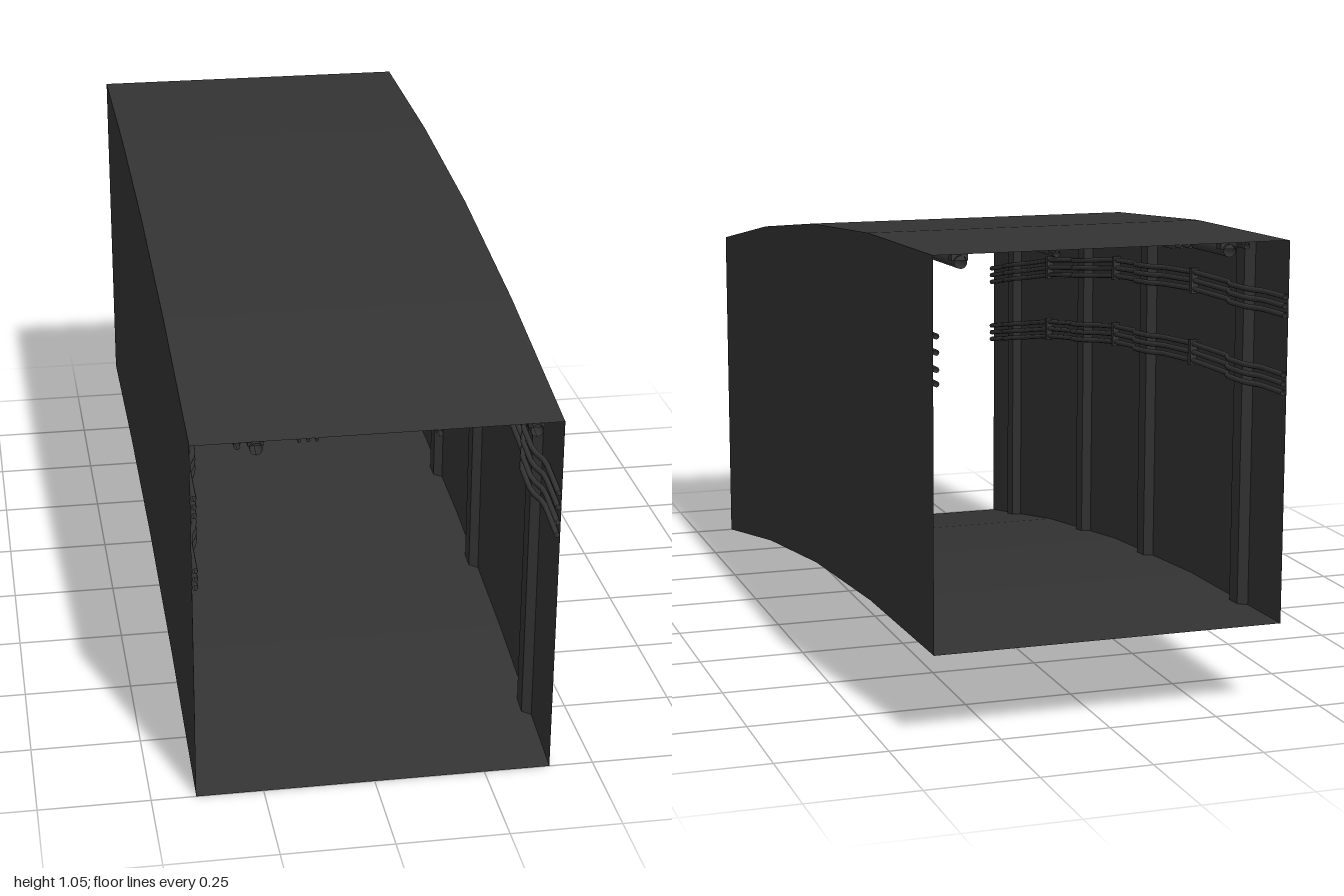
import * as THREE from 'three';

const LENGTH = 2, HALF_W = 0.4, HEIGHT = 0.85;
const PILLARS = [-0.79, -0.22, 0.22, 0.79];
const RISE = [0.2, 0.188, 0.152, 0.088, 0]; // floor height at z = -1, -0.5, 0, 0.5, 1

// Floor height along the curved passage
function rise(z) {
  const t = THREE.MathUtils.clamp((z + 1) * 2, 0, 4);
  const i = Math.min(3, Math.floor(t));
  return THREE.MathUtils.lerp(RISE[i], RISE[i + 1], t - i);
}

// How far wall cables step out to clear a pillar (0 to 1)
function bump(z) {
  const d = Math.min(...PILLARS.map((p) => Math.abs(z - p)));
  return 1 - THREE.MathUtils.smoothstep(d, 0.04, 0.1);
}

export function createModel() {
  const model = new THREE.Group();
  const dark = new THREE.MeshStandardMaterial({ color: 0x333333, side: THREE.DoubleSide });
  dark.name = 'dark grey';

  // Lifts a straight part onto the curve of the passage and adds it
  function add(name, geometry, flat = true, shiftX = () => 0) {
    const g = flat && geometry.index ? geometry.toNonIndexed() : geometry;
    const p = g.attributes.position;
    for (let i = 0; i < p.count; i++) {
      const z = p.getZ(i);
      p.setX(i, p.getX(i) + shiftX(z));
      p.setY(i, p.getY(i) + rise(z));
    }
    g.computeVertexNormals();
    const mesh = new THREE.Mesh(g, dark);
    mesh.name = name;
    model.add(mesh);
  }

  function pipe(name, x, y, r, sides, shiftX) {
    const g = new THREE.CylinderGeometry(r, r, LENGTH, sides, 80, true);
    add(name, g.rotateX(Math.PI / 2).translate(x, y, 0), false, shiftX);
  }

  function clamp(name, x, y, z, w, h, d) {
    add(name, new THREE.BoxGeometry(w, h, d).translate(x, y, z));
  }

  // Shell: floor, roof and two walls, open at both ends
  add('floor', new THREE.PlaneGeometry(HALF_W * 2, LENGTH, 1, 4).rotateX(Math.PI / 2));
  add('roof', new THREE.PlaneGeometry(HALF_W * 2, LENGTH, 1, 4)
    .rotateX(-Math.PI / 2).translate(0, HEIGHT, 0));
  for (const s of [1, -1]) {
    add(s > 0 ? 'leftWall' : 'rightWall', new THREE.PlaneGeometry(LENGTH, HEIGHT, 4, 1)
      .rotateY(s * Math.PI / 2).translate(s * HALF_W, HEIGHT / 2, 0));

    // Chamfered pillars against the wall
    for (const z of PILLARS) {
      const outline = new THREE.Shape([
        [s * HALF_W, -0.036], [s * 0.38, -0.022], [s * 0.38, 0.022], [s * HALF_W, 0.036],
      ].map(([x, w]) => new THREE.Vector2(x, w)));
      const g = new THREE.ExtrudeGeometry(outline, { depth: HEIGHT, bevelEnabled: false });
      add('pillar', g.rotateX(-Math.PI / 2).translate(0, 0, z));
    }
  }

  // Wall cables that step over every pillar, with brackets between pillars
  const bundles = [
    { side: -1, heights: [0.518, 0.538, 0.558] },
    { side: -1, heights: [0.688, 0.708, 0.728] },
    { side: 1, heights: [0.582, 0.612, 0.648, 0.682] },
  ];
  for (const { side, heights } of bundles) {
    for (const y of heights) {
      pipe('wallCable', side * 0.393, y, 0.0065, 8, (z) => -side * 0.018 * bump(z));
    }
    const low = heights[0], high = heights[heights.length - 1];
    for (const z of [-0.5, 0, 0.5]) {
      clamp('cableBracket', side * 0.392, (low + high) / 2, z, 0.016, high - low + 0.02, 0.016);
    }
  }

  // Ceiling pipes: two thick, two medium, three thin
  const ceiling = [
    [-0.26, 0.014], [0.34, 0.014], [-0.3, 0.007], [0.13, 0.007],
    [-0.17, 0.004], [-0.15, 0.004], [-0.132, 0.004],
  ];
  for (const [x, r] of ceiling) {
    pipe('ceilingPipe', x, HEIGHT - r * 1.2, r, 10);
    if (r < 0.005) continue;
    for (const z of [-0.98, -0.5, 0, 0.5, 0.98]) {
      clamp('pipeHanger', x, HEIGHT - r * 0.5, z, r * 2.5, r, 0.025);
    }
  }
  return model;
}
